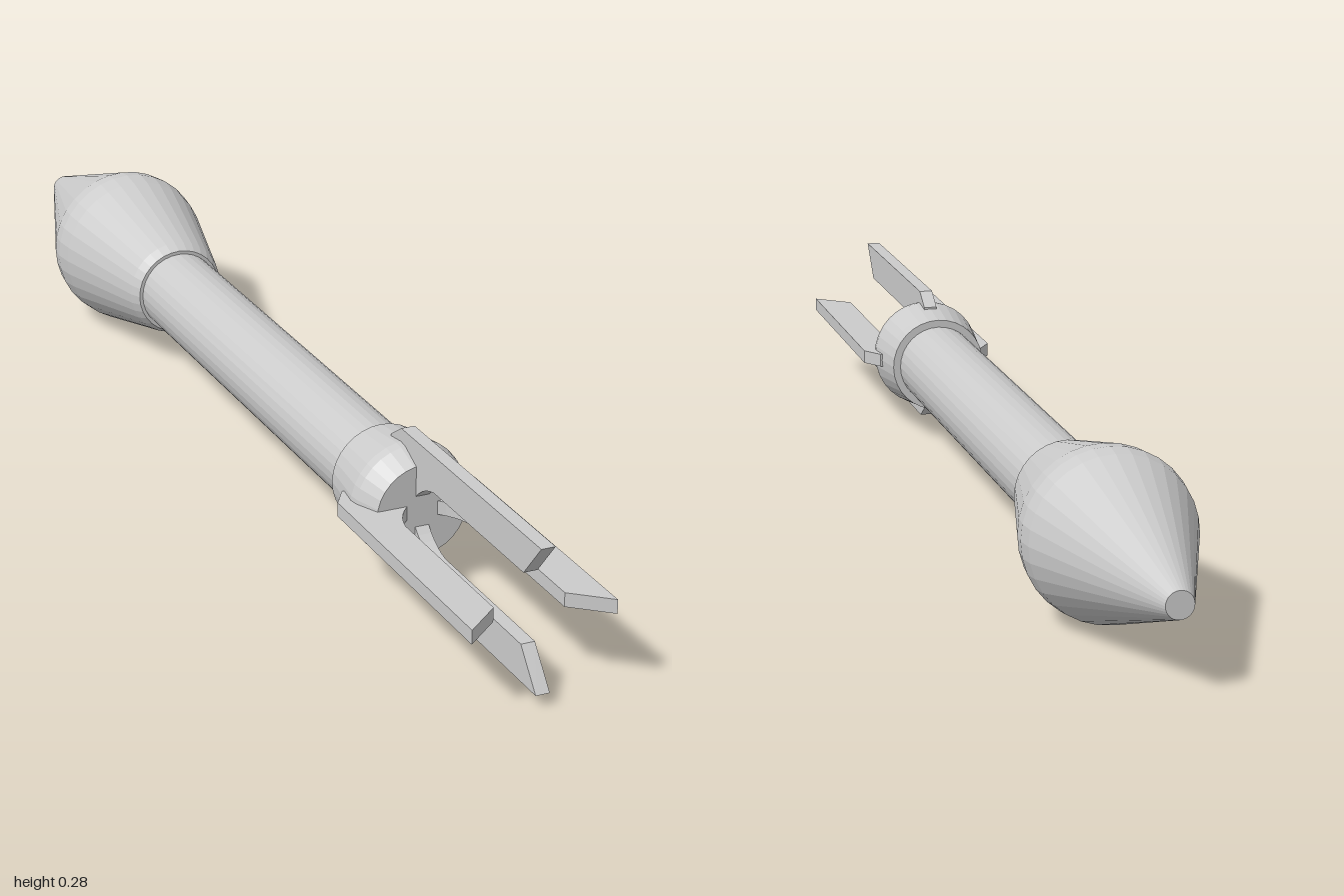
import * as THREE from 'three';

const AXIS_Y = 0.139; // height of the long axis
const SIDES = 32;

export function createModel() {
  const model = new THREE.Group();
  const material = new THREE.MeshStandardMaterial({ color: 0xcccccc, flatShading: true });

  const add = (name, geometry) => {
    const mesh = new THREE.Mesh(geometry, material);
    mesh.name = name;
    mesh.position.y = AXIS_Y;
    model.add(mesh);
  };

  // Turned part: profile of [radius, z] pairs, from back (-z) to front (+z)
  const turned = (name, profile) => {
    const points = profile.map(([r, z]) => new THREE.Vector2(r, z));
    add(name, new THREE.LatheGeometry(points, SIDES).rotateX(Math.PI / 2));
  };

  turned('head', [
    [0, -1], [0.022, -1], [0.134, -0.68], [0.138, -0.65], [0.134, -0.615],
    [0.086, -0.415], [0.077, -0.395], [0, -0.395],
  ]);
  turned('shaft', [[0, -0.4], [0.071, -0.4], [0.071, 0.46], [0, 0.46]]);
  turned('collar', [
    [0, 0.45], [0.084, 0.45], [0.087, 0.475], [0.097, 0.545], [0.095, 0.56],
    [0.077, 0.6], [0, 0.6],
  ]);

  // Fin outline in (radius, z), with a curved inner root and a slanted tip
  const outline = new THREE.Shape();
  outline.moveTo(0.026, 0.51);
  outline.lineTo(0.095, 0.51);
  outline.lineTo(0.118, 0.545);
  outline.lineTo(0.118, 1);
  outline.lineTo(0.058, 0.95);
  outline.lineTo(0.058, 0.66);
  outline.quadraticCurveTo(0.052, 0.625, 0.026, 0.6);
  outline.closePath();

  // Four fins around the axis
  const thickness = 0.023;
  for (let i = 0; i < 4; i++) {
    const fin = new THREE.ExtrudeGeometry(outline, {
      depth: thickness, bevelEnabled: false, curveSegments: 5,
    });
    fin.translate(0, 0, -thickness / 2).rotateX(Math.PI / 2).rotateZ((i * Math.PI) / 2);
    add(`fin${i + 1}`, fin);
  }

  return model;
}
